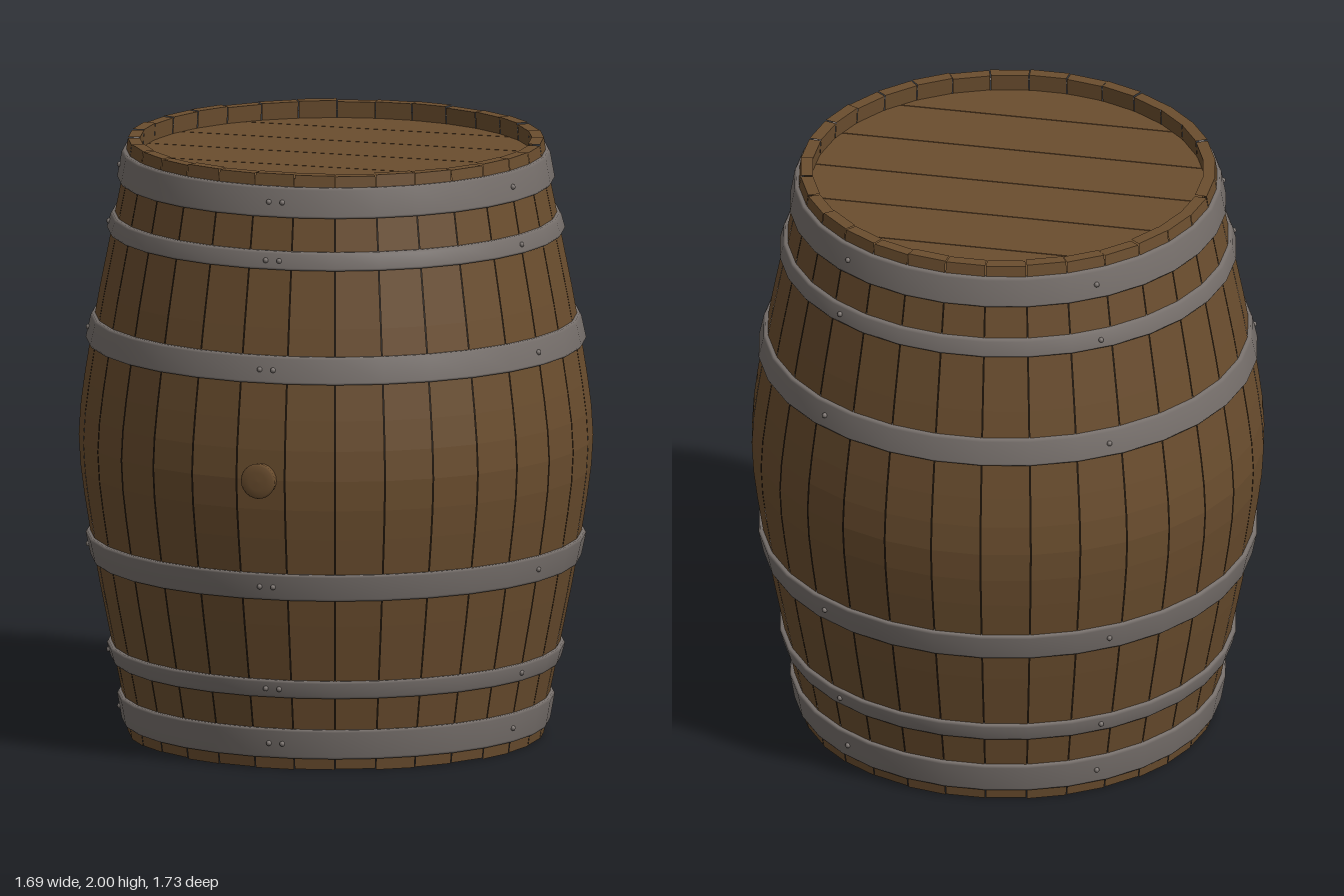
import * as THREE from 'three';
import { mergeGeometries } from 'three/addons/utils/BufferGeometryUtils.js';

const STAVES = 32, STEP = Math.PI * 2 / STAVES, CENTRE_Z = -0.017;
const V = (x, y) => new THREE.Vector2(x, y);

// lower half of the barrel outline as [height, radius]; mirrored about y = 1
const OUTLINE = [[0, 0.687], [0.14, 0.708], [0.31, 0.742], [0.5, 0.78], [0.68, 0.812], [0.8, 0.831], [0.9, 0.844], [1, 0.85]];

function radiusAt(y) {
  const h = Math.max(0, Math.min(y, 2 - y));
  let i = 1;
  while (i < OUTLINE.length - 1 && OUTLINE[i][0] < h) i++;
  const [h0, r0] = OUTLINE[i - 1], [h1, r1] = OUTLINE[i];
  return r0 + (r1 - r0) * (h - h0) / (h1 - h0);
}

// outline heights from bottom to top, with the ends replaced by y0 and y1
function heights(y0, y1) {
  const inner = OUTLINE.slice(1).map(p => p[0]);
  const upper = inner.slice(0, -1).reverse().map(h => 2 - h);
  return [y0, ...inner.filter(h => h > y0), ...upper.filter(h => h < y1), y1];
}

// one bowed stave: a closed profile swept through a narrow wedge
function staveGeometry(i) {
  const trim = 0.004 * ((i * 7) % 3) / 2;
  const ys = heights(trim, 2 - trim);
  const outer = ys.map(y => V(radiusAt(y), y));
  const inner = ys.slice().reverse().map(y => V(radiusAt(y) - 0.04 - (Math.abs(y - 1) < 0.95 ? 0.012 : 0), y));
  const profile = [...outer, ...inner, outer[0].clone()];
  const gap = 0.004;
  const g = new THREE.LatheGeometry(profile, 1, (i - 0.5) * STEP + gap / 2, STEP - gap).toNonIndexed();
  g.computeVertexNormals();
  return g;
}

// one head board: the slice of a disc between z0 and z1
function boardGeometry(z0, z1, radius) {
  const n = 14, right = [], left = [];
  for (let k = 0; k <= n; k++) {
    const z = z0 + (z1 - z0) * k / n;
    const x = Math.sqrt(Math.max(0, radius * radius - z * z));
    right.push(V(x, z));
    left.unshift(V(-x, z));
  }
  const g = new THREE.ExtrudeGeometry(new THREE.Shape([...right, ...left]), { depth: 0.03, bevelEnabled: false });
  return g.rotateX(-Math.PI / 2);
}

export function createModel() {
  const wood = new THREE.MeshStandardMaterial({ color: 0x6a4d2e });
  const metal = new THREE.MeshStandardMaterial({ color: 0x77706c });
  const dark = new THREE.MeshStandardMaterial({ color: 0x1e150c });
  wood.name = 'wood';
  metal.name = 'metal';
  dark.name = 'darkSeam';

  const model = new THREE.Group();
  model.name = 'barrel';
  const body = new THREE.Group();
  body.name = 'body';
  body.position.z = CENTRE_Z;
  model.add(body);
  const add = (name, geometry, material, parent = body) => {
    const mesh = new THREE.Mesh(geometry, material);
    mesh.name = name;
    parent.add(mesh);
    return mesh;
  };

  // staves
  const staves = Array.from({ length: STAVES }, (_, i) => staveGeometry(i));
  add('staves', mergeGeometries(staves), wood);

  // dark lining showing through the seams
  const lining = heights(0.085, 1.915).map(y => V(radiusAt(y) * Math.cos(STEP / 2) - 0.014, y));
  add('seamLining', new THREE.LatheGeometry([V(0, 0.085), ...lining, V(0, 1.915)], STAVES, STEP / 2), dark);

  // boarded heads, recessed inside the rim
  const cuts = [-0.65, -0.461, -0.231, -0.002, 0.228, 0.458, 0.65];
  for (const [name, y] of [['topHead', 1.912], ['bottomHead', 0.058]]) {
    const boards = [];
    for (let i = 0; i < cuts.length - 1; i++) {
      // the extruded shape's y becomes -z
      boards.push(boardGeometry(-cuts[i + 1] + 0.002, -cuts[i] - 0.002, 0.65));
    }
    add(name, mergeGeometries(boards), wood).position.y = y;
  }

  // metal hoops with softly rounded faces, each with rivets
  const hoops = [[0.04, 0.14], [0.25, 0.31], [0.59, 0.68], [1.32, 1.41], [1.69, 1.75], [1.86, 1.96]];
  const rivet = new THREE.SphereGeometry(0.009, 10, 8);
  hoops.forEach(([y0, y1], n) => {
    const hoop = new THREE.Group();
    hoop.name = 'hoop' + (n + 1);
    body.add(hoop);
    const e = 0.008;
    const profile = [
      V(radiusAt(y0) - 0.01, y0), V(radiusAt(y0) + 0.01, y0), V(radiusAt(y0) + 0.015, y0 + e),
      V(radiusAt(y1) + 0.015, y1 - e), V(radiusAt(y1) + 0.01, y1), V(radiusAt(y1) - 0.01, y1),
    ];
    add('band', new THREE.LatheGeometry(profile, STAVES, STEP / 2), metal, hoop);

    const y = (y0 + y1) / 2, r = radiusAt(y) + 0.014;
    const angles = [-0.012 / r, 0.034 / r];
    for (let k = 1; k < 5; k++) angles.push(k * Math.PI * 2 / 5);
    for (const a of angles) {
      add('rivet', rivet, metal, hoop).position.set(r * Math.sin(a), y, r * Math.cos(a));
    }
  });

  // tapered bung on the front
  const bung = add('bung', new THREE.LatheGeometry(
    [V(0.048, 0.78), V(0.059, 0.858), V(0.052, 0.864), V(0.03, 0.866), V(0, 0.867)], 24), wood, model);
  bung.rotation.x = Math.PI / 2;
  bung.position.y = 1;

  return model;
}
